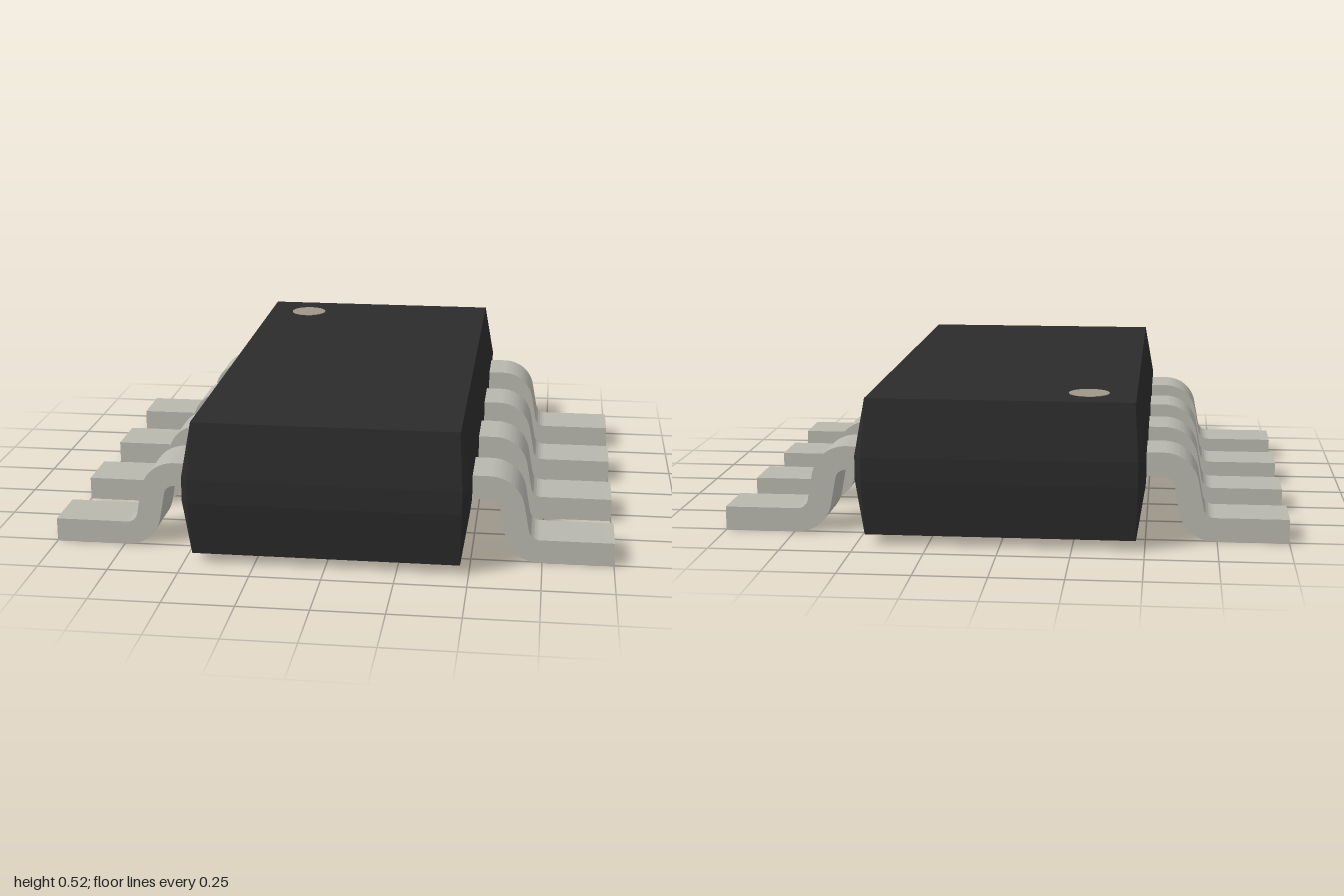
import * as THREE from 'three';
import { toCreasedNormals } from 'three/addons/utils/BufferGeometryUtils.js';

const THICK_OUT = 0.125, THICK_IN = 0.04; // outer and inner bend radii of a lead
const rad = THREE.MathUtils.degToRad;

// Eight-cornered outline: a rectangle with cut corners
function ring(y, hx, hz, cut) {
  return [
    [hx, hz - cut], [hx, -hz + cut], [hx - cut, -hz], [-hx + cut, -hz],
    [-hx, -hz + cut], [-hx, hz - cut], [-hx + cut, hz], [hx - cut, hz],
  ].map(([x, z]) => [x, y, z]);
}

// Moulded body lofted through outlines, tapering up and down from a middle band
function bodyGeometry() {
  const rings = [
    ring(0.035, 0.47, 0.898, 0.002),
    ring(0.23, 0.5, 0.926, 0.025),
    ring(0.315, 0.5, 0.926, 0.025),
    ring(0.515, 0.464, 0.893, 0.002),
  ];
  const index = [];
  for (let r = 0; r < rings.length - 1; r++) {
    for (let i = 0; i < 8; i++) {
      const a = r * 8 + i, b = r * 8 + (i + 1) % 8;
      index.push(a, b, b + 8, a, b + 8, a + 8);
    }
  }
  const top = (rings.length - 1) * 8;
  for (let i = 1; i < 7; i++) {
    index.push(top, top + i, top + i + 1);
    index.push(0, i + 1, i);
  }
  const g = new THREE.BufferGeometry();
  g.setAttribute('position', new THREE.Float32BufferAttribute(rings.flat(2), 3));
  g.setIndex(index);
  const flat = g.toNonIndexed();
  flat.computeVertexNormals();
  return flat;
}

// Gull-wing lead: two opposite bends joined by a slightly leaning shank
function leadGeometry(width) {
  const ax = 0.56, ay = 0.19, bx = 0.74, by = 0.125;
  const s = new THREE.Shape();
  s.moveTo(0.45, ay + THICK_OUT);
  s.lineTo(ax, ay + THICK_OUT);
  s.absarc(ax, ay, THICK_OUT, rad(90), rad(10), true);
  s.absarc(bx, by, THICK_IN, rad(190), rad(270), false);
  s.lineTo(1, by - THICK_IN);
  s.lineTo(1, 0);
  s.lineTo(bx, 0);
  s.absarc(bx, by, THICK_OUT, rad(270), rad(190), true);
  s.absarc(ax, ay, THICK_IN, rad(10), rad(90), false);
  s.lineTo(0.45, ay + THICK_IN);
  s.closePath();
  const g = new THREE.ExtrudeGeometry(s, { depth: width, bevelEnabled: false, curveSegments: 12 });
  g.translate(0, 0, -width / 2);
  return toCreasedNormals(g, rad(35));
}

export function createModel() {
  const group = new THREE.Group();
  const plastic = new THREE.MeshStandardMaterial({ color: 0x2b2b2b });
  const metal = new THREE.MeshStandardMaterial({ color: 0xb8b7ae });
  const mark = new THREE.MeshStandardMaterial({ color: 0x9e9688 });

  const body = new THREE.Mesh(bodyGeometry(), plastic);
  body.name = 'body';
  group.add(body);

  // Round marker at the first lead
  const dot = new THREE.Mesh(new THREE.CylinderGeometry(0.071, 0.071, 0.01, 40), mark);
  dot.name = 'pinOneMarker';
  dot.position.set(-0.298, 0.512, -0.727);
  group.add(dot);

  // Four leads along each long side
  const lead = leadGeometry(0.198);
  for (const side of ['left', 'right']) {
    const row = new THREE.Group();
    row.name = side + 'Leads';
    for (let i = 0; i < 4; i++) {
      const m = new THREE.Mesh(lead, metal);
      m.name = side + 'Lead' + (i + 1);
      m.position.z = (i - 1.5) * 0.438;
      row.add(m);
    }
    if (side === 'right') row.rotation.y = Math.PI;
    group.add(row);
  }
  return group;
}
